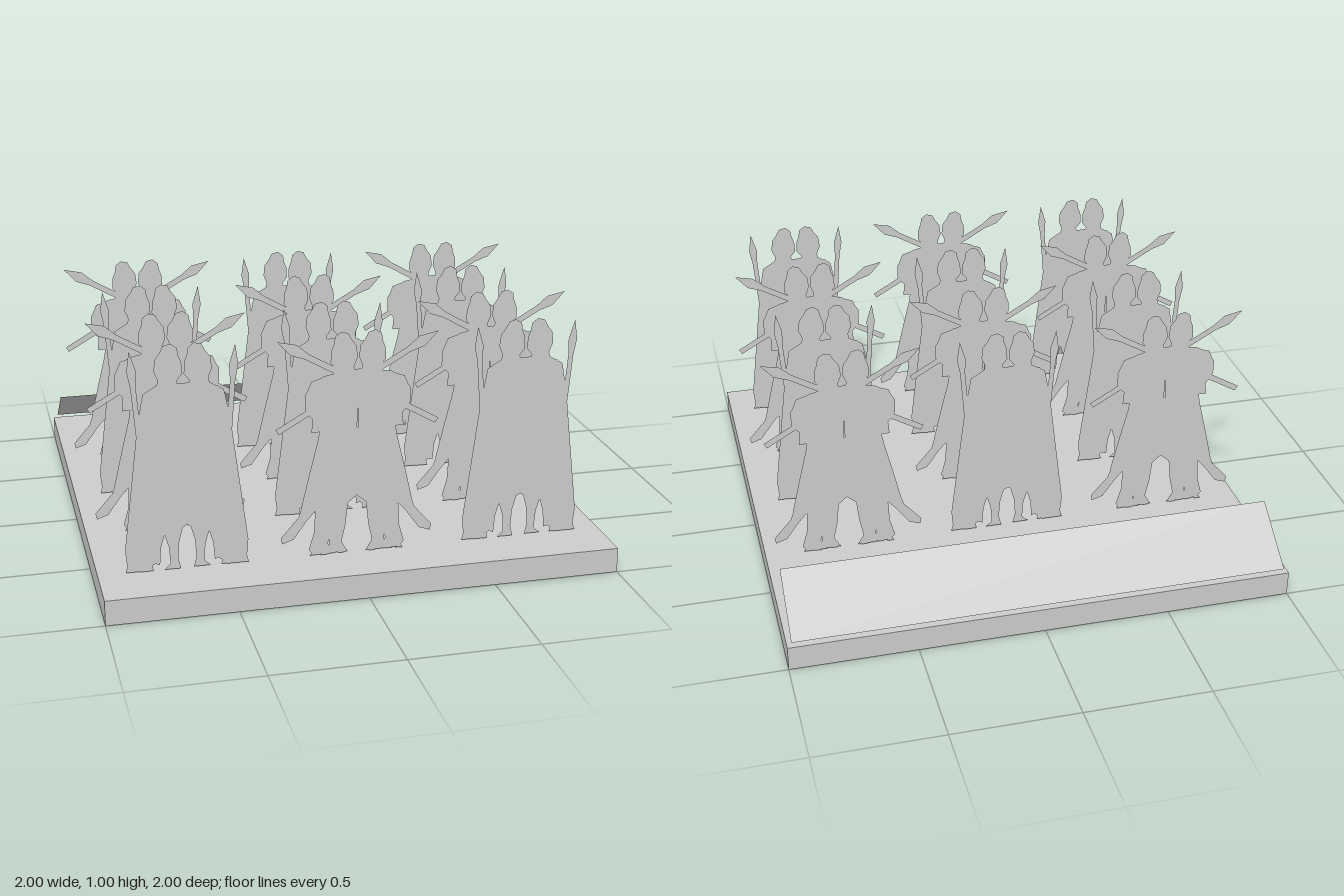
import * as THREE from 'three';

const grey = new THREE.MeshStandardMaterial({ color: 0xcccccc, side: THREE.DoubleSide });
grey.name = 'plain grey';

const toPoints = (list) => list.map(([x, y]) => new THREE.Vector2(x, y));

// Flat cut-out from an outline and optional holes
function cutout(outline, holes = []) {
  const shape = new THREE.Shape(toPoints(outline));
  holes.forEach((h) => shape.holes.push(new THREE.Path(toPoints(h))));
  return new THREE.ShapeGeometry(shape);
}

// Spear with a leaf blade, from tip to butt
function spear(tip, butt, width, bladeLength, bladeWidth) {
  const t = new THREE.Vector2(...tip), b = new THREE.Vector2(...butt);
  const d = b.clone().sub(t), length = d.length();
  d.normalize();
  const at = (s, w) => [t.x + d.x * s - d.y * w, t.y + d.y * s + d.x * w];
  const side = (k) => [
    at(bladeLength * 0.55, k * bladeWidth / 2), at(bladeLength, k * width / 2), at(length, k * width / 2),
  ];
  return cutout([tip, ...side(1), ...side(-1).reverse()]);
}

// Head with a crested helmet and neck, centred on x
const headOutline = (x) => [
  [-0.04, 0.81], [-0.032, 0.855], [-0.052, 0.88], [-0.05, 0.925], [-0.04, 0.95], [-0.035, 0.98],
  [-0.012, 0.997], [0.015, 0.99], [0.028, 0.965], [0.047, 0.94], [0.052, 0.895], [0.038, 0.86], [0.05, 0.81],
].map(([px, y]) => [px + x, y]);

// Small scraps beside the feet
const scraps = [-0.13, 0.06, 0.17].map((x) =>
  cutout([[x - 0.014, 0.105], [x + 0.014, 0.105], [x + 0.004, 0.125]]));

// Cloaked guard holding an upright spear
const cloakedGuard = {
  cloak: cutout([
    [-0.03, 0.845], [-0.13, 0.825], [-0.155, 0.79], [-0.175, 0.68], [-0.195, 0.52], [-0.215, 0.36],
    [-0.235, 0.2], [-0.23, 0.145], [-0.2, 0.125], [-0.185, 0.108], [-0.13, 0.108], [-0.135, 0.14],
    [-0.105, 0.13], [-0.1, 0.2], [-0.085, 0.25], [-0.07, 0.2], [-0.065, 0.13], [-0.09, 0.108],
    [-0.025, 0.108], [-0.035, 0.15], [-0.03, 0.22], [-0.015, 0.275], [0.03, 0.3], [0.07, 0.28],
    [0.085, 0.25], [0.1, 0.21], [0.11, 0.14], [0.14, 0.125], [0.15, 0.108], [0.235, 0.108],
    [0.225, 0.15], [0.205, 0.25], [0.205, 0.4], [0.19, 0.55], [0.17, 0.7], [0.15, 0.81], [0.1, 0.84],
  ], [[[0.115, 0.69], [0.145, 0.69], [0.155, 0.64], [0.165, 0.56], [0.16, 0.44], [0.145, 0.5],
    [0.13, 0.57], [0.11, 0.62]]]),
  head: cutout(headOutline(0.055)),
  spear: spear([-0.195, 0.98], [-0.165, 0.6], 0.02, 0.14, 0.034),
};

// Striding guard with a spear across the shoulders
const stridingGuard = {
  body: cutout([
    [-0.02, 0.85], [-0.13, 0.83], [-0.18, 0.8], [-0.205, 0.76], [-0.205, 0.7], [-0.175, 0.67],
    [-0.18, 0.61], [-0.135, 0.61], [-0.135, 0.55], [-0.165, 0.42], [-0.2, 0.36], [-0.23, 0.27],
    [-0.3, 0.19], [-0.295, 0.165], [-0.25, 0.18], [-0.2, 0.25], [-0.165, 0.29], [-0.17, 0.2],
    [-0.19, 0.13], [-0.17, 0.108], [-0.09, 0.108], [-0.115, 0.15], [-0.1, 0.22], [-0.085, 0.31],
    [-0.04, 0.37], [0.0, 0.34], [0.035, 0.31], [0.045, 0.22], [0.06, 0.15], [0.035, 0.108],
    [0.11, 0.108], [0.11, 0.18], [0.13, 0.3], [0.165, 0.35], [0.21, 0.24], [0.22, 0.3], [0.185, 0.45],
    [0.155, 0.57], [0.145, 0.63], [0.19, 0.68], [0.205, 0.75], [0.18, 0.81], [0.1, 0.835],
  ], [
    [[-0.015, 0.73], [0.0, 0.7], [0.002, 0.62], [-0.025, 0.56], [-0.035, 0.63]],
    [[0.12, 0.72], [0.14, 0.69], [0.14, 0.645], [0.125, 0.66]],
    [[-0.17, 0.75], [-0.15, 0.76], [-0.15, 0.72]],
  ]),
  head: cutout(headOutline(-0.055)),
  spear: spear([-0.31, 0.975], [0.31, 0.62], 0.024, 0.13, 0.046),
};
scraps.forEach((g, i) => { stridingGuard['footScrap' + (i + 1)] = g; });

// A figure is one cut-out plus the same one turned to face the back
function makeFigure(parts, name) {
  const figure = new THREE.Group();
  figure.name = name;
  for (const [sideName, turn] of [['frontCutout', 0], ['backCutout', Math.PI]]) {
    const copy = new THREE.Group();
    copy.name = sideName;
    copy.rotation.y = turn;
    for (const [part, geometry] of Object.entries(parts)) {
      const mesh = new THREE.Mesh(geometry, grey);
      mesh.name = part;
      mesh.position.z = 0.002;
      copy.add(mesh);
    }
    figure.add(copy);
  }
  return figure;
}

export function createModel() {
  const model = new THREE.Group();
  model.name = 'guardRegimentOnTray';

  // Square tray
  const base = new THREE.Mesh(new THREE.BoxGeometry(2, 0.1, 2), grey);
  base.name = 'base';
  base.position.y = 0.05;
  model.add(base);

  // Thin sloping plate along the back edge
  const depth = 0.24, rise = 0.17;
  const plate = new THREE.Mesh(new THREE.PlaneGeometry(1.965, Math.hypot(depth, rise)), grey);
  plate.name = 'backPlate';
  plate.rotation.set(-Math.PI / 2 - Math.atan2(rise, depth), 0, 0);
  plate.position.set(0, 0.2, -0.87);
  model.add(plate);

  // Three files of four, the two kinds alternating like a chessboard
  [-0.66, 0, 0.66].forEach((x, column) => {
    [0.8, 0.4, 0, -0.4].forEach((z, row) => {
      const cloaked = (column + row) % 2 === 0;
      const figure = makeFigure(cloaked ? cloakedGuard : stridingGuard, cloaked ? 'cloakedGuard' : 'stridingGuard');
      figure.position.set(x, 0, z);
      model.add(figure);
    });
  });
  return model;
}
